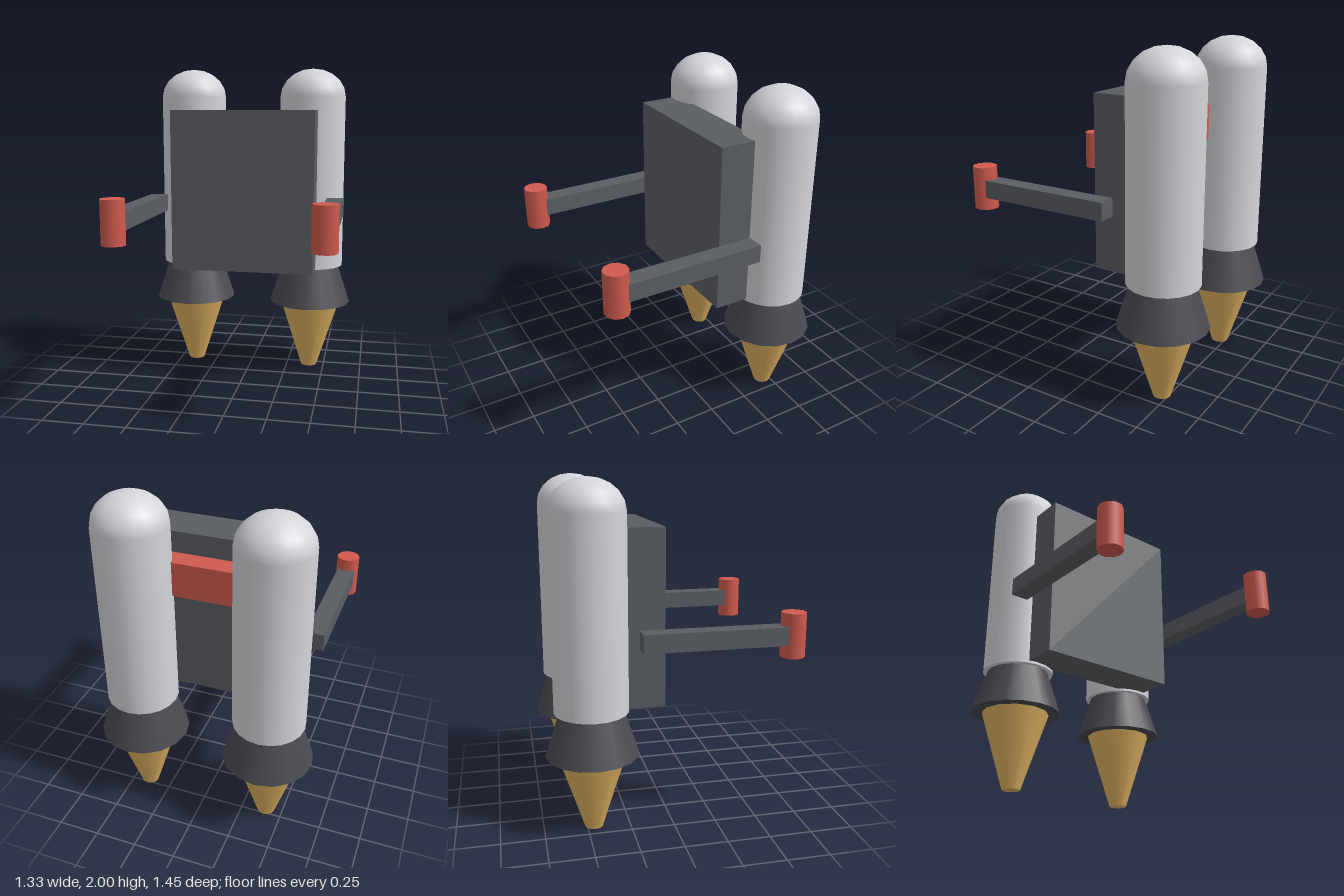
import * as THREE from 'three';

export function createModel() {
  const model = new THREE.Group();
  const mat = (name, color) => {
    const m = new THREE.MeshStandardMaterial({ color });
    m.name = name;
    return m;
  };
  const shell = mat('pale grey shell', 0xd4d5da);
  const panel = mat('slate grey panel', 0x5a5e63);
  const dark = mat('dark nozzle', 0x4a4b51);
  const red = mat('red', 0xd05a4e);
  const gold = mat('gold flame', 0xe0b262);

  const add = (name, geometry, material, x, y, z) => {
    const mesh = new THREE.Mesh(geometry, material);
    mesh.name = name;
    mesh.position.set(x, y, z);
    model.add(mesh);
    return mesh;
  };
  // Round part between two heights
  const round = (name, rTop, rBottom, y0, y1, sides, material, x, z) =>
    add(name, new THREE.CylinderGeometry(rTop, rBottom, y1 - y0, sides), material, x, (y0 + y1) / 2, z);
  // Box given by its limits
  const box = (name, x0, x1, y0, y1, z0, z1, material) =>
    add(name, new THREE.BoxGeometry(x1 - x0, y1 - y0, z1 - z0), material,
      (x0 + x1) / 2, (y0 + y1) / 2, (z0 + z1) / 2);

  // Back plate and the strut joining the tanks
  box('backPlate', -0.45, 0.45, 0.725, 1.735, -0.3, -0.045, panel);
  box('crossStrut', -0.3, 0.3, 1.405, 1.61, -0.425, -0.29, red);

  for (const [side, s] of [['left', 1], ['right', -1]]) {
    // Tank with a slightly flattened dome
    const x = s * 0.398, z = -0.46;
    round(side + 'Tank', 0.213, 0.213, 0.71, 1.82, 20, shell, x, z);
    const dome = add(side + 'Dome',
      new THREE.SphereGeometry(0.213, 20, 5, 0, Math.PI * 2, 0, Math.PI / 2), shell, x, 1.82, z);
    dome.scale.y = 0.18 / 0.213;

    // Nozzle and flame
    round(side + 'Nozzle', 0.185, 0.268, 0.455, 0.71, 16, dark, x, z);
    round(side + 'Flame', 0.2, 0.053, 0, 0.456, 12, gold, x, z);

    // Control arm with an upright grip
    const armX = s * 0.573;
    box(side + 'Arm', armX - 0.053, armX + 0.053, 1.085, 1.19, -0.205, 0.615, panel);
    const grip = round(side + 'Grip', 0.071, 0.071, 1.01, 1.265, 10, red, armX, 0.657);
    grip.rotation.y = Math.PI / 2;
  }
  return model;
}
